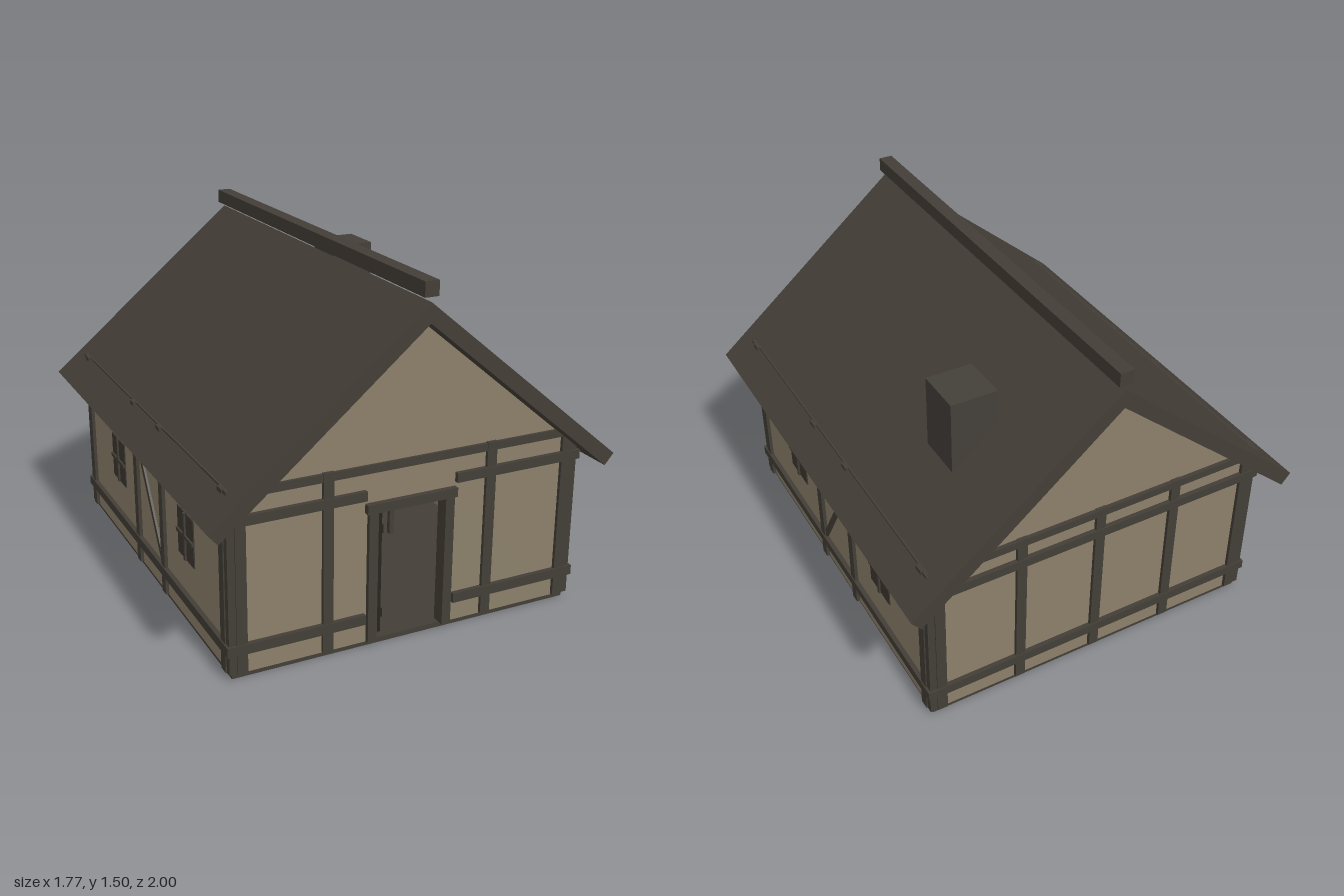
import * as THREE from 'three';

const mat = (name, color) => {
  const m = new THREE.MeshStandardMaterial({ color });
  m.name = name;
  return m;
};

export function createModel() {
  const house = new THREE.Group();
  house.name = 'timberHouse';
  const plaster = mat('plaster', 0x8c806a);
  const timber = mat('timber', 0x433e37);
  const roofing = mat('roofing', 0x443e37);
  const stone = mat('stone', 0x443f39);
  const darkWood = mat('darkWood', 0x27231f);
  const glazing = mat('glazing', 0x3d3832);

  const add = (name, geometry, material) => {
    const mesh = new THREE.Mesh(geometry, material);
    mesh.name = name;
    house.add(mesh);
    return mesh;
  };
  // Box given by its limits on each axis
  const box = (name, x0, x1, y0, y1, z0, z1, material = timber) => {
    const mesh = add(name, new THREE.BoxGeometry(x1 - x0, y1 - y0, z1 - z0), material);
    mesh.position.set((x0 + x1) / 2, (y0 + y1) / 2, (z0 + z1) / 2);
    return mesh;
  };
  // Box on either side of x = 0
  const sideBox = (name, s, x0, x1, ...rest) =>
    s > 0 ? box(name, x0, x1, ...rest) : box(name, -x1, -x0, ...rest);
  const polygon = (points) => new THREE.Shape(points.map(([x, y]) => new THREE.Vector2(x, y)));
  const slab = (name, shape, z0, depth, material) => {
    const g = new THREE.ExtrudeGeometry(shape, { depth, bevelEnabled: false });
    return add(name, g.translate(0, 0, z0), material);
  };

  box('floor', -0.76, 0.76, 0, 0.022, -0.885, 0.885);

  // Gable walls, the front one notched for the doorway
  const gableTop = [[0.76, 0.02], [0.76, 0.74], [0, 1.38], [-0.76, 0.74], [-0.76, 0.02]];
  const doorway = [[-0.17, 0.02], [-0.17, 0.6], [0.17, 0.6], [0.17, 0.02]];
  slab('frontWall', polygon([...gableTop, ...doorway]), 0.86, 0.03, plaster);
  slab('backWall', polygon(gableTop), -0.89, 0.03, plaster);

  // Roof, ridge beam and chimney
  slab('roof', polygon([[0, 1.42], [-0.885, 0.68], [-0.845, 0.633], [0, 1.34],
    [0.845, 0.633], [0.885, 0.68]]), -1, 2, roofing);
  box('ridgeBeam', -0.03, 0.03, 1.44, 1.5, -1, 1);
  box('chimney', 0.32, 0.52, 0.9, 1.3, -0.635, -0.43, stone);

  // Long walls with posts, rails, brace and windows
  for (const s of [-1, 1]) {
    sideBox('sideWall', s, 0.735, 0.765, 0.02, 0.735, -0.86, 0.86, plaster);
    for (const z of [-0.85, -0.165, 0.17, 0.85])
      sideBox('sidePost', s, 0.745, 0.78, 0.025, 0.785, z - 0.022, z + 0.022);
    sideBox('sideLowerRail', s, 0.745, 0.785, 0.108, 0.15, -0.91, 0.91);
    sideBox('sideTopRail', s, 0.745, 0.768, 0.75, 0.785, -0.89, 0.89);

    const brace = add('brace', new THREE.BoxGeometry(0.02, 0.58, 0.026), timber);
    brace.position.set(s * 0.765, 0.39, 0.003);
    brace.rotation.x = Math.atan2(-0.305, 0.48);

    for (const z of [-0.44, 0.44]) {
      sideBox('windowPane', s, 0.764, 0.77, 0.302, 0.51, z - 0.09, z + 0.09, glazing);
      sideBox('windowMullion', s, 0.764, 0.778, 0.302, 0.51, z - 0.008, z + 0.008);
      sideBox('windowCrossbar', s, 0.764, 0.778, 0.398, 0.414, z - 0.09, z + 0.09);
    }
    for (const z of [-0.885, 0.885])
      sideBox('cornerPost', s, 0.738, 0.775, 0.025, 0.785, z - 0.015, z + 0.015);
  }

  // Timber frame on both gables
  for (const f of [-1, 1]) {
    const z0 = f > 0 ? 0.875 : -0.905;
    const z1 = z0 + 0.03;
    const r0 = f > 0 ? 0.88 : -0.91;
    const r1 = r0 + 0.03;
    const posts = f > 0 ? [-0.722, -0.362, 0.36, 0.722] : [-0.722, -0.36, 0, 0.36, 0.722];
    for (const x of posts) box('gablePost', x - 0.022, x + 0.022, 0.025, 0.785, z0, z1);
    box('gableTopRail', -0.775, 0.775, 0.748, 0.782, z0 + 0.002 * f, z1 - 0.002);
    for (const [y0, y1] of [[0.108, 0.15], [0.64, 0.68]]) {
      if (f > 0) for (const s of [-1, 1]) sideBox('gableRail', s, 0.2, 0.785, y0, y1, r0, r1);
      else box('gableRail', -0.785, 0.785, y0, y1, r0, r1);
    }
  }

  // Door frame
  for (const s of [-1, 1]) sideBox('doorJamb', s, 0.15, 0.19, 0.022, 0.585, 0.85, 0.91);
  box('doorLintel', -0.2, 0.2, 0.583, 0.622, 0.85, 0.915);

  // Door leaf standing open into the room
  box('doorLeaf', -0.148, -0.108, 0.03, 0.567, 0.57, 0.86, darkWood);
  for (const y of [0.11, 0.48]) box('doorBatten', -0.109, -0.098, y - 0.018, y + 0.018, 0.58, 0.855, darkWood);

  // Furniture
  box('chest', -0.12, -0.02, 0.022, 0.14, -0.1, 0.1);
  box('tableTop', 0, 0.4, 0.2, 0.222, -0.3, 0.1);
  for (const x of [0.025, 0.375])
    for (const z of [-0.275, 0.075])
      box('tableLeg', x - 0.011, x + 0.011, 0.022, 0.2, z - 0.011, z + 0.011);

  return house;
}
